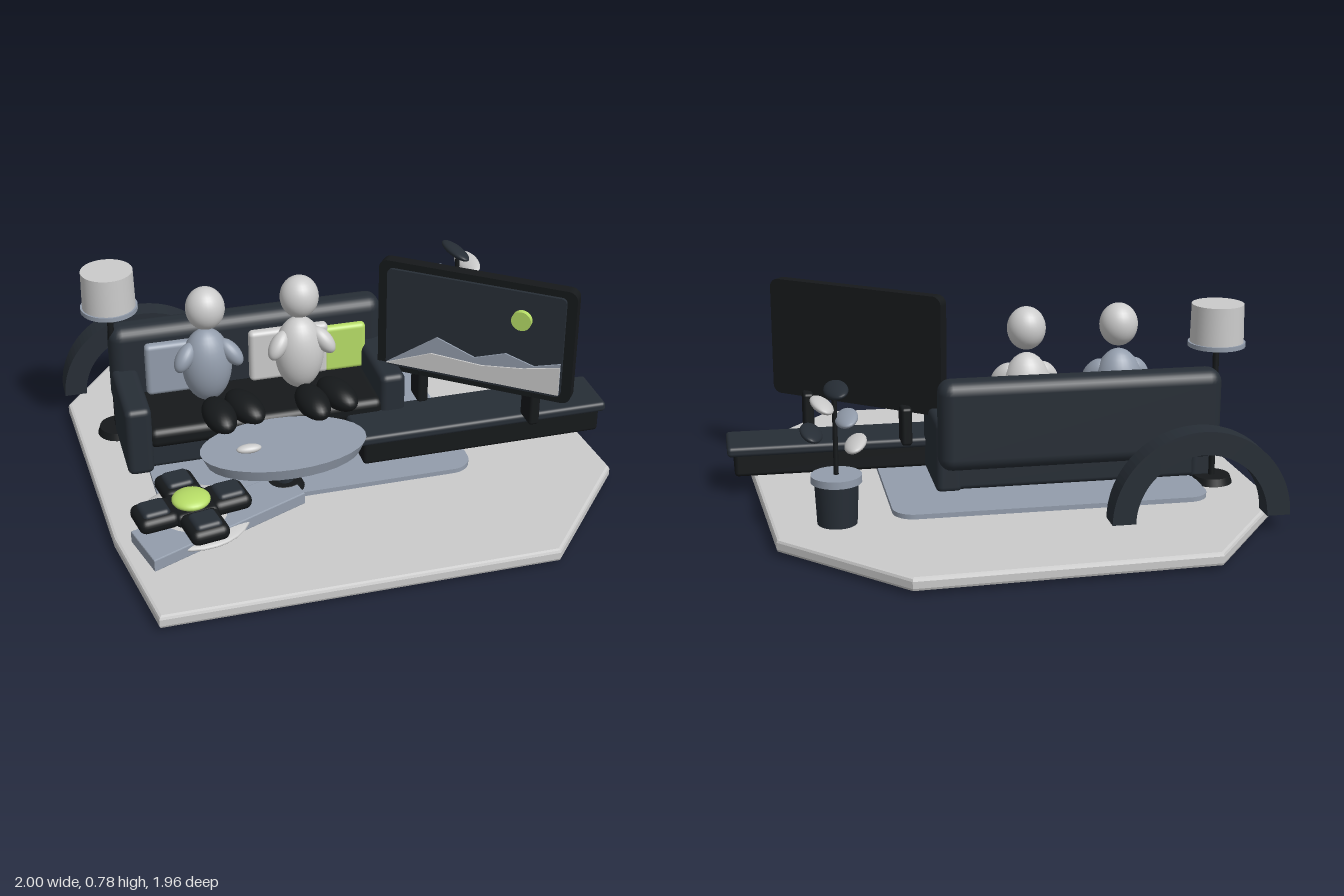
import * as THREE from 'three';
import { RoundedBoxGeometry } from 'three/addons/geometries/RoundedBoxGeometry.js';

const mat = (color) => new THREE.MeshStandardMaterial({ color });
const M = {
  floor: mat(0xcccccc), white: mat(0xe4e4e4), blue: mat(0x939dac), black: mat(0x16191b),
  dark: mat(0x272e36), green: mat(0xb6dc66),
};

export function createModel() {
  const model = new THREE.Group();

  function add(name, geometry, material, x = 0, y = 0, z = 0, parent = model) {
    const mesh = new THREE.Mesh(geometry, material);
    mesh.name = name;
    mesh.position.set(x, y, z);
    parent.add(mesh);
    return mesh;
  }
  function group(name, x = 0, y = 0, z = 0) {
    const g = new THREE.Group();
    g.name = name;
    g.position.set(x, y, z);
    model.add(g);
    return g;
  }
  // rounded box given by its limits on each axis
  function box(name, material, [x0, x1], [y0, y1], [z0, z1], r = 0.02, parent = model) {
    return add(name, new RoundedBoxGeometry(x1 - x0, y1 - y0, z1 - z0, 3, r), material,
      (x0 + x1) / 2, (y0 + y1) / 2, (z0 + z1) / 2, parent);
  }
  function ball(name, material, x, y, z, rx, ry, rz, parent = model) {
    return add(name, new THREE.SphereGeometry(1, 28, 18).scale(rx, ry, rz), material, x, y, z, parent);
  }
  // upright cylinder between two heights
  function rod(name, material, x, z, y0, y1, rBottom, rTop = rBottom, parent = model) {
    return add(name, new THREE.CylinderGeometry(rTop, rBottom, y1 - y0, 32), material, x, (y0 + y1) / 2, z, parent);
  }
  const polygon = (points) => new THREE.Shape(points.map(([x, y]) => new THREE.Vector2(x, y)));
  // flat slab from an outline of x, z points
  function slab(name, material, points, y0, y1, bevel) {
    const g = new THREE.ExtrudeGeometry(polygon(points.map(([x, z]) => [x, -z])), {
      depth: y1 - y0 - 2 * bevel, bevelThickness: bevel, bevelSize: bevel, bevelOffset: -bevel, bevelSegments: 2,
    });
    return add(name, g.rotateX(-Math.PI / 2), material, 0, y0 + bevel, 0);
  }
  function roundedRect(w, h, r) {
    const s = new THREE.Shape();
    const a = w / 2 - r, b = h / 2 - r;
    s.absarc(a, b, r, 0, Math.PI / 2);
    s.absarc(-a, b, r, Math.PI / 2, Math.PI);
    s.absarc(-a, -b, r, Math.PI, Math.PI * 1.5);
    s.absarc(a, -b, r, Math.PI * 1.5, Math.PI * 2);
    return s;
  }

  // floor and rugs
  slab('floor', M.floor, [[-0.88, 0.977], [0.545, 0.977], [0.925, 0.527], [0.85, -0.55],
    [0.43, -0.985], [-0.647, -0.95], [-0.997, -0.473], [-0.957, 0.49]], 0.013, 0.062, 0.012);
  const rug = new THREE.ExtrudeGeometry(roundedRect(1.185, 0.855, 0.08), { depth: 0.02, bevelEnabled: false });
  add('rug', rug.rotateX(-Math.PI / 2), M.blue, -0.172, 0.06, -0.012);
  slab('sidePlatform', M.blue, [[-0.9, 0.53], [-0.85, 0.725], [-0.25, 0.46], [-0.28, 0.3]], 0.06, 0.108, 0.004);
  ball('roundMat', M.floor, -0.665, 0.088, 0.475, 0.205, 0.025, 0.205);

  // sofa
  const sofa = group('sofa');
  box('sofaBase', M.dark, [-0.8, 0.19], [0.08, 0.2], [-0.21, 0.11], 0.02, sofa);
  box('sofaSeat', M.black, [-0.76, 0.15], [0.17, 0.25], [-0.19, 0.13], 0.03, sofa);
  box('sofaBack', M.dark, [-0.845, 0.232], [0.176, 0.52], [-0.3, -0.175], 0.05, sofa);
  for (const x of [-0.845, 0.135]) box('sofaArm', M.dark, [x, x + 0.1], [0.07, 0.35], [-0.215, 0.135], 0.025, sofa);
  for (const x of [-0.71, 0.1]) rod('sofaLeg', M.black, x, -0.15, 0, 0.1, 0.022, 0.03, sofa);
  box('greyPillow', M.blue, [-0.72, -0.41], [0.25, 0.465], [-0.175, -0.13], 0.018, sofa);
  box('whitePillow', M.white, [-0.315, 0], [0.25, 0.465], [-0.175, -0.13], 0.018, sofa);
  box('greenPillow', M.green, [-0.02, 0.152], [0.25, 0.445], [-0.172, -0.132], 0.018, sofa);

  // two seated figures
  for (const [x, material] of [[-0.5, M.blue], [-0.14, M.white]]) {
    const figure = group('seatedFigure', x, 0, -0.035);
    ball('head', M.white, 0, 0.653, 0, 0.074, 0.083, 0.074, figure);
    ball('body', material, 0, 0.41, -0.01, 0.095, 0.15, 0.085, figure);
    for (const s of [-1, 1]) {
      const arm = ball('arm', material, s * 0.087, 0.465, 0.02, 0.034, 0.062, 0.04, figure);
      arm.rotation.set(-0.5, 0, s * 0.6);
      const leg = ball('leg', M.black, 0.06 + s * 0.053, 0.282, 0.145 - s * 0.018, 0.06, 0.052, 0.115, figure);
      leg.rotation.y = 0.2 + s * 0.1;
    }
  }

  // oval coffee table
  const table = group('coffeeTable', -0.3, 0, 0.35);
  rod('tableTop', M.blue, 0, 0, 0.216, 0.262, 0.93, 1, table).scale.set(0.31, 1, 0.18);
  rod('tablePost', M.dark, 0, 0, 0.08, 0.22, 0.035, 0.035, table);
  rod('tableFoot', M.black, 0, 0, 0.08, 0.11, 0.075, 0.06, table);
  ball('dish', M.white, -0.133, 0.272, 0.016, 0.046, 0.016, 0.022, table);

  // floor cushion with four petals
  const cushion = group('petalCushion', -0.674, 0, 0.49);
  cushion.rotation.y = 0.17;
  for (let i = 0; i < 4; i++) {
    const petal = new THREE.Group();
    petal.name = 'petal';
    petal.rotation.y = i * Math.PI / 2;
    cushion.add(petal);
    box('petalBase', M.black, [0.06, 0.212], [0.115, 0.175], [-0.072, 0.072], 0.028, petal);
    box('petalPad', M.dark, [0.09, 0.192], [0.15, 0.19], [-0.05, 0.05], 0.018, petal);
  }
  box('petalCore', M.black, [-0.08, 0.08], [0.115, 0.17], [-0.08, 0.08], 0.02, cushion);
  ball('cushionButton', M.green, 0, 0.178, 0, 0.07, 0.026, 0.07, cushion);

  // floor lamp
  const lamp = group('floorLamp', -0.832, 0, -0.22);
  rod('lampFoot', M.black, 0, 0, 0.06, 0.09, 0.08, 0.07, lamp);
  rod('lampPole', M.black, 0, 0, 0.08, 0.62, 0.012, 0.012, lamp);
  rod('lampRim', M.blue, 0, 0, 0.6, 0.617, 0.108, 0.108, lamp);
  rod('lampShade', M.white, 0, 0, 0.612, 0.762, 0.101, 0.098, lamp);

  // arch behind the sofa
  const archShape = new THREE.Shape();
  archShape.absarc(0, 0, 0.332, 0, Math.PI);
  archShape.absarc(0, 0, 0.245, Math.PI, 0, true);
  add('arch', new THREE.ExtrudeGeometry(archShape, { depth: 0.09, bevelEnabled: false, curveSegments: 24 }),
    M.dark, -0.668, 0.062, -0.63);

  // potted plant with stacked leaves
  const plant = group('plant', 0.625, 0, -0.42);
  rod('pot', M.dark, 0, 0, 0.06, 0.23, 0.072, 0.08, plant);
  rod('potRim', M.blue, 0, 0, 0.218, 0.245, 0.092, 0.092, plant);
  rod('stem', M.black, 0, 0, 0.24, 0.56, 0.009, 0.009, plant);
  const leaves = [[-0.07, 0.36, M.white], [0.085, 0.405, M.dark], [-0.04, 0.455, M.blue], [0.045, 0.505, M.white], [-0.005, 0.56, M.dark]];
  leaves.forEach(([x, y, material], i) => {
    const leaf = ball('leaf', material, x, y, i % 2 ? -0.008 : -0.015, 0.042, 0.02, 0.1, plant);
    leaf.rotation.set(0, (i - 2) * 0.06, x > 0 ? 0.35 : -0.35);
  });

  // low media console
  box('consoleTop', M.dark, [0, 0.998], [0.162, 0.202], [0.078, 0.305], 0.015);
  box('consoleBody', M.black, [0.02, 0.972], [0.078, 0.18], [0.095, 0.3], 0.015);

  // angled television with a landscape on its screen
  const tv = group('television', 0.478, 0.552, 0.213);
  tv.rotation.y = -0.651;
  const panel = (name, material, shape, z, depth) =>
    add(name, new THREE.ExtrudeGeometry(shape, { depth, bevelEnabled: false }), material, 0, 0, z, tv);
  panel('frame', M.black, roundedRect(0.765, 0.465, 0.035), -0.025, 0.045);
  panel('screen', M.dark, roundedRect(0.69, 0.41, 0.02), 0.02, 0.012);
  panel('farHills', M.blue, polygon([[-0.34, -0.19], [-0.14, -0.045], [0.01, -0.1], [0.13, -0.058],
    [0.24, -0.09], [0.34, -0.06], [0.34, -0.19]]), 0.032, 0.006);
  panel('nearHills', M.white, polygon([[-0.34, -0.19], [-0.16, -0.115], [0.04, -0.125], [0.2, -0.105],
    [0.34, -0.073], [0.34, -0.19]]), 0.038, 0.006);
  const sun = rod('sun', M.green, 0, 0, -0.012, 0.012, 0.038, 0.038, tv);
  sun.rotation.x = Math.PI / 2;
  sun.position.set(0.185, 0.095, 0.04);
  for (const [x, z] of [[0.315, 0.055], [0.67, 0.325]]) box('televisionLeg', M.black, [x - 0.021, x + 0.021], [0.195, 0.345], [z - 0.05, z + 0.05], 0.012);

  return model;
}
